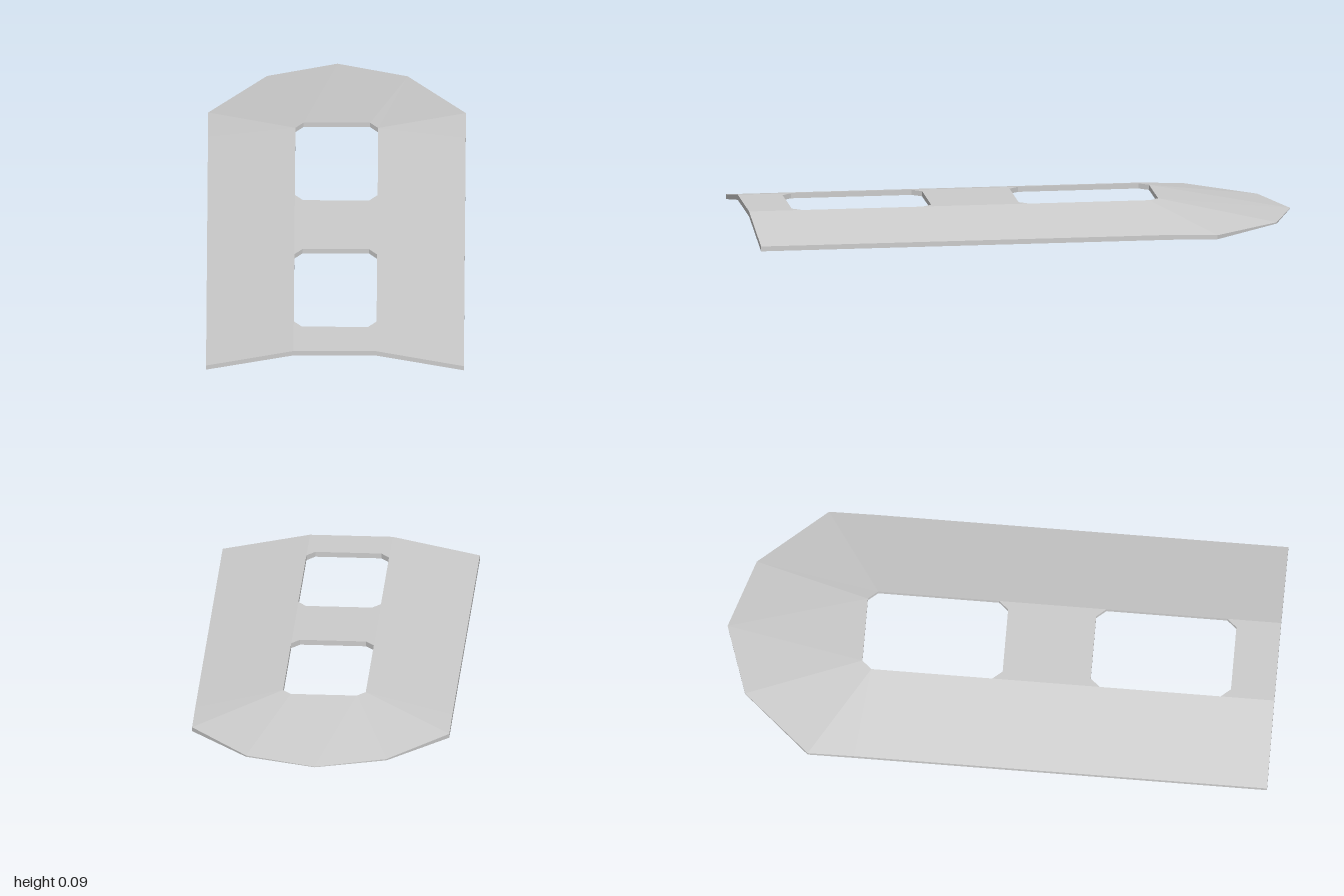
import * as THREE from 'three';

// Plan corners [x, z, top y, bottom y] of the left half; the crown is flat up to x = 0.15
const W = 0.467, TOP = 0.085, UNDER = 0.066;
const flat = (x, z) => [x, z, TOP, UNDER];
const edge = (z) => [W, z, 0.021, 0.003];

const shoulder = flat(0.15, -0.465), holeEdge = flat(0.12, -0.5), holeMid = flat(0, -0.5);
const edgeBack = edge(-0.5);
const noseSide = [W, -0.67, 0.015, 0];
const noseCorner = [0.255, -0.915, 0.012, 0.007];
const tip = [0, -1, 0.01, 0.008];

const halfPanels = [
  // sloping side
  [flat(0.15, 1), edge(1), edgeBack, shoulder, flat(0.15, -0.025), flat(0.15, 0.365), flat(0.15, 0.805)],
  // flat bridge in front of the first window
  [flat(0, 1), flat(0.15, 1), flat(0.15, 0.805), flat(0.12, 0.84), flat(0, 0.84)],
  // flat bridge between the windows
  [flat(0, 0.33), flat(0.12, 0.33), flat(0.15, 0.365), flat(0.15, -0.025), flat(0.12, 0.01), flat(0, 0.01)],
  // facets of the sloping nose
  [shoulder, edgeBack, noseSide],
  [shoulder, noseSide, noseCorner],
  [shoulder, noseCorner, holeEdge],
  [holeEdge, noseCorner, tip],
  [holeEdge, tip, holeMid],
];

function plateGeometry() {
  const pos = [];
  const top = (p) => [p[0], p[2], p[1]];
  const under = (p) => [p[0], p[3], p[1]];
  const tri = (a, b, c) => pos.push(...a, ...b, ...c);
  const plan = (poly) => poly.map((p) => new THREE.Vector2(p[0], p[1]));
  const upward = (poly) => (THREE.ShapeUtils.area(plan(poly)) < 0 ? poly : [...poly].reverse());

  const mirrored = halfPanels.map((poly) => poly.map(([x, ...rest]) => [-x, ...rest]));
  const panels = [...halfPanels, ...mirrored].map(upward);

  // upper and lower skins
  const edges = new Map();
  const key = (a, b) => [a[0], a[1], b[0], b[1]].map((v) => v.toFixed(3)).join();
  for (const poly of panels) {
    for (const face of THREE.ShapeUtils.triangulateShape(plan(poly), [])) {
      const [a, b, c] = upward(face.map((i) => poly[i]));
      tri(top(a), top(b), top(c));
      tri(under(a), under(c), under(b));
    }
    poly.forEach((a, i) => {
      const b = poly[(i + 1) % poly.length];
      edges.set(key(a, b), [a, b]);
    });
  }
  // walls along every edge that no second panel shares: the rim and both windows
  for (const [a, b] of edges.values()) {
    if (edges.has(key(b, a))) continue;
    tri(top(a), under(a), under(b));
    tri(top(a), under(b), top(b));
  }

  const geometry = new THREE.BufferGeometry();
  geometry.setAttribute('position', new THREE.Float32BufferAttribute(pos, 3));
  geometry.computeVertexNormals();
  return geometry;
}

export function createModel() {
  const group = new THREE.Group();
  group.name = 'windowedPlate';
  const material = new THREE.MeshStandardMaterial({ color: 0xcccccc, flatShading: true });
  const plate = new THREE.Mesh(plateGeometry(), material);
  plate.name = 'plate';
  group.add(plate);
  return group;
}
